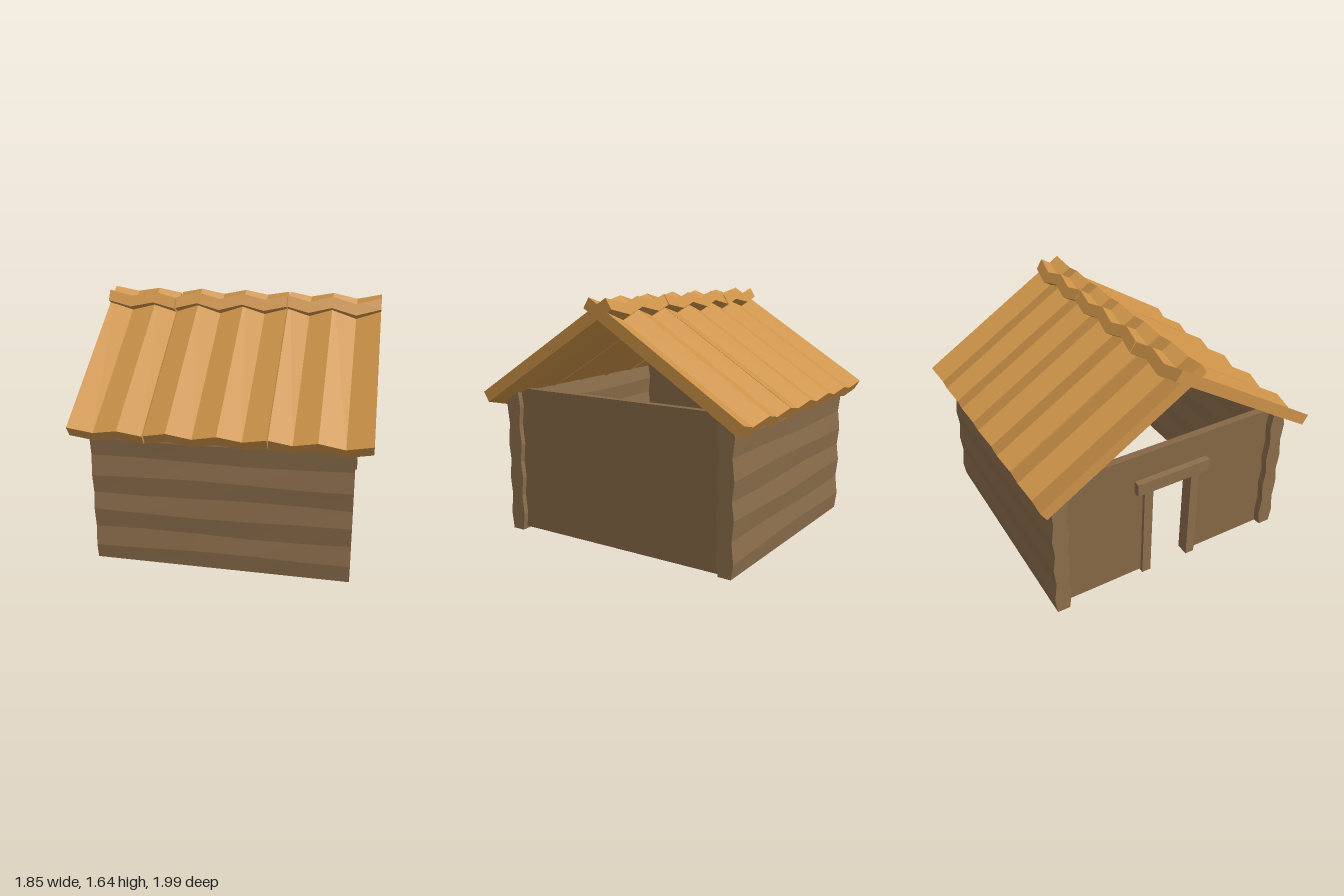
import * as THREE from 'three';

const mat = (color) => new THREE.MeshStandardMaterial({ color, flatShading: true });

export function createModel() {
  const group = new THREE.Group();
  const roofMat = mat(0xcc9248), logMat = mat(0x8c6e4c), wallMat = mat(0x866846);

  const add = (name, geometry, material, x = 0, y = 0, z = 0) => {
    const mesh = new THREE.Mesh(geometry, material);
    mesh.name = name;
    mesh.position.set(x, y, z);
    group.add(mesh);
    return mesh;
  };

  // Log wall: a box whose rows bulge at the middle of each of four logs
  function logWall() {
    const g = new THREE.BoxGeometry(1.645, 1, 0.1, 5, 8, 1);
    const p = g.attributes.position;
    for (let i = 0; i < p.count; i++) {
      const row = Math.round((p.getY(i) + 0.5) * 8);
      const x = p.getX(i), side = Math.sign(p.getZ(i));
      const wobble = 0.008 * Math.sin(x * 4 + row * 1.7);
      let y = row * 0.125 + wobble;
      if (row === 0) y = 0.01 - x * 0.012;
      if (row === 8) y = side > 0 ? 0.945 : 0.98;
      p.setXYZ(i, x, y, side * (row % 2 ? 0.059 : 0.044));
    }
    g.computeVertexNormals();
    return g;
  }
  add('frontLogWall', logWall(), logMat, -0.007, 0, 0.828);
  const back = logWall().rotateY(Math.PI);
  add('backLogWall', back, logMat, -0.007, 0, -0.828);

  // Plain side wall, and the one with the doorway
  add('leftWall', new THREE.BoxGeometry(0.05, 0.985, 1.58), wallMat, 0.755, 0.5125, 0);
  const doorWall = new THREE.Shape([
    [-0.79, 0.02], [-0.18, 0.02], [-0.18, 0.75], [0.18, 0.75],
    [0.18, 0.02], [0.79, 0.02], [0.79, 1.005], [-0.79, 1.005],
  ].map(([z, y]) => new THREE.Vector2(z, y)));
  const doorGeo = new THREE.ExtrudeGeometry(doorWall, { depth: 0.05, bevelEnabled: false });
  doorGeo.rotateY(-Math.PI / 2);
  add('doorWall', doorGeo, wallMat, -0.73, 0, 0);

  // Door frame
  for (const s of [-1, 1]) {
    add('doorJamb', new THREE.BoxGeometry(0.09, 0.72, 0.065), logMat, -0.76, 0.365, s * 0.18);
  }
  add('doorLintel', new THREE.BoxGeometry(0.12, 0.09, 0.55), logMat, -0.765, 0.765, 0);

  // Corrugated roof panels: a zigzag strip extruded down the slope
  const panels = [
    { xs: [-0.93, -0.77, -0.615, -0.464], ns: [0.043, 0.004, 0.038, 0] },
    { xs: [-0.454, -0.31, -0.155, 0, 0.15, 0.299], ns: [0.005, 0.044, 0.002, 0.046, 0.008, 0.043] },
    { xs: [0.306, 0.45, 0.6, 0.76, 0.92], ns: [0.044, 0.006, 0.046, 0, 0.047] },
  ];
  const pitch = THREE.MathUtils.degToRad(32), length = 1.25;
  for (const s of [1, -1]) {
    for (const { xs, ns } of panels) {
      const lower = xs.map((x, i) => new THREE.Vector2(s * x, ns[i]));
      const upper = lower.map((v) => new THREE.Vector2(v.x, v.y + 0.078)).reverse();
      const g = new THREE.ExtrudeGeometry(new THREE.Shape([...lower, ...upper]), {
        depth: length, bevelEnabled: false,
      });
      g.rotateX(pitch);
      g.translate(0, 0.875 + length * Math.sin(pitch), 0.93 - length * Math.cos(pitch));
      if (s < 0) g.rotateY(Math.PI);
      add(s > 0 ? 'frontRoofPanel' : 'backRoofPanel', g, roofMat);
    }
  }
  return group;
}
